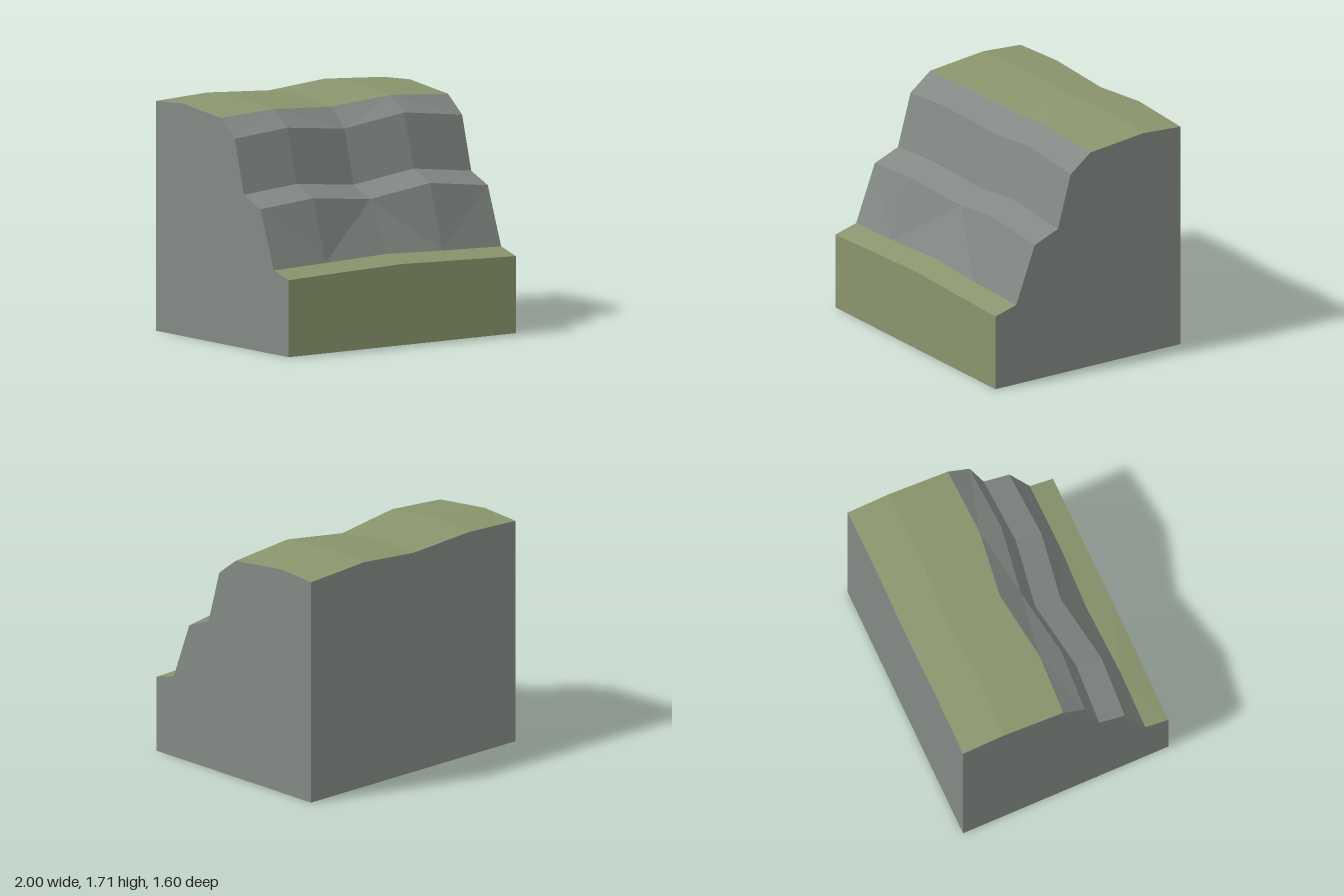
import * as THREE from 'three';

// Stations across the block, and the terrain rows from front to back.
const X = [-1, -0.55, 0, 0.48, 1];
const WAVE_Y = [0, 0.043, -0.02, 0.063, 0];   // rise and fall of the ridge lines
const WAVE_Z = [0, 0.022, -0.05, 0.016, 0];   // in and out of the cliff face
const BASE_Y = [0, 0.015, 0.03, 0.015, 0];    // gentle hump of the lower ground

// z, y, strength of the z wave, height wave with its strength
const ROWS = [
  { z: 0.8, y: 0, k: 0, wave: BASE_Y, s: 0 },        // front foot
  { z: 0.8, y: 0.553, k: 0, wave: BASE_Y, s: 1 },    // front edge
  { z: 0.62, y: 0.602, k: 0.3, wave: BASE_Y, s: 1 }, // cliff foot
  { z: 0.46, y: 1.022, k: 1, wave: WAVE_Y, s: 1 },   // ledge front
  { z: 0.26, y: 1.102, k: 1, wave: WAVE_Y, s: 1 },   // ledge back
  { z: 0.15, y: 1.492, k: 1, wave: WAVE_Y, s: 1 },   // cliff shoulder
  { z: -0.02, y: 1.622, k: 0.9, wave: WAVE_Y, s: 0.6 }, // grass rim
  { z: -0.48, y: 1.671, k: 0.3, wave: WAVE_Y, s: 0.55 }, // crest
  { z: -0.8, y: 1.651, k: 0, wave: WAVE_Y, s: 0.5 }, // back edge
  { z: -0.8, y: 0, k: 0, wave: WAVE_Y, s: 0 },       // back foot
];

function point(i, j) {
  const r = ROWS[j % ROWS.length];
  return [X[i], r.y + r.wave[i] * r.s, r.z + WAVE_Z[i] * r.k];
}

// Faceted strip between row j and the next, with alternating diagonals.
function band(from, to) {
  const pos = [];
  for (let j = from; j < to; j++) {
    for (let i = 0; i < X.length - 1; i++) {
      const a = point(i, j), b = point(i + 1, j);
      const c = point(i + 1, j + 1), d = point(i, j + 1);
      const tris = (i + j) % 2 ? [a, b, c, a, c, d] : [a, b, d, b, c, d];
      tris.forEach((p) => pos.push(...p));
    }
  }
  const geo = new THREE.BufferGeometry();
  geo.setAttribute('position', new THREE.Float32BufferAttribute(pos, 3));
  geo.computeVertexNormals();
  return geo;
}

// Flat end wall cut along the terrain profile.
function endWall(i) {
  const side = Math.sign(X[i]);
  const outline = ROWS.map((_, j) => {
    const [, y, z] = point(i, j);
    return new THREE.Vector2(-side * z, y);
  });
  const geo = new THREE.ShapeGeometry(new THREE.Shape(outline));
  geo.rotateY(side * Math.PI / 2);
  geo.translate(X[i], 0, 0);
  return geo;
}

export function createModel() {
  const grass = new THREE.MeshStandardMaterial({ color: 0x89956d, flatShading: true });
  grass.name = 'grass green';
  const rock = new THREE.MeshStandardMaterial({ color: 0x828984, flatShading: true });
  rock.name = 'rock grey';

  const group = new THREE.Group();
  group.name = 'cliffBlock';
  const add = (name, geo, mat) => {
    const mesh = new THREE.Mesh(geo, mat);
    mesh.name = name;
    group.add(mesh);
  };

  add('frontGrassWall', band(0, 1), grass);
  add('lowerGrass', band(1, 2), grass);
  add('lowerCliff', band(2, 3), rock);
  add('ledge', band(3, 4), rock);
  add('upperCliff', band(4, 5), rock);
  add('cliffShoulder', band(5, 6), rock);
  add('plateauGrass', band(6, 8), grass);
  add('backWall', band(8, 9), rock);
  add('underside', band(9, 10), rock);
  add('rightWall', endWall(0), rock);
  add('leftWall', endWall(X.length - 1), rock);
  return group;
}
